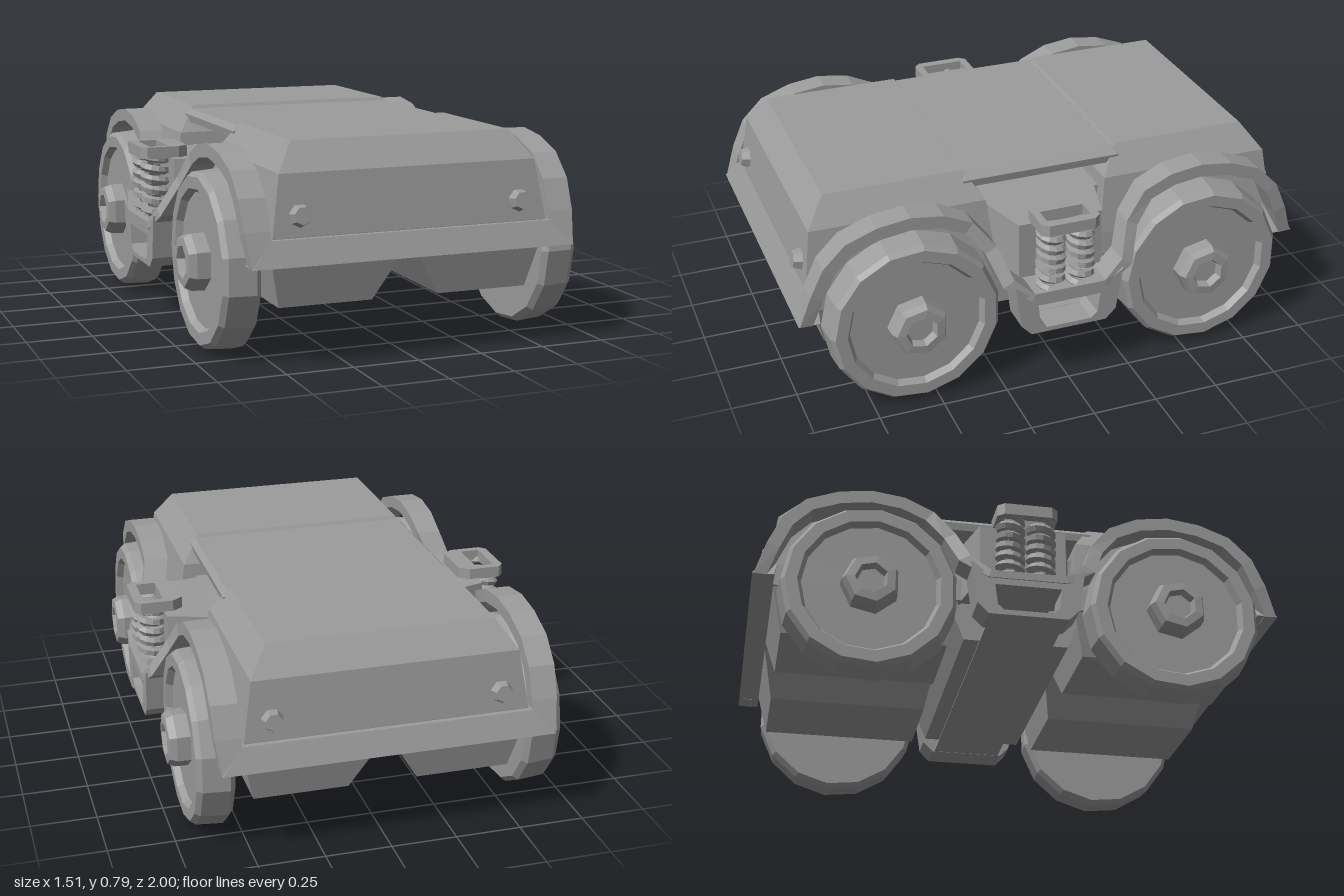
import * as THREE from 'three';

const material = new THREE.MeshStandardMaterial({ color: 0x9c9c9c, flatShading: true, side: THREE.DoubleSide });

function add(parent, name, geometry, x = 0, y = 0, z = 0) {
  const mesh = new THREE.Mesh(geometry, material);
  mesh.name = name;
  mesh.position.set(x, y, z);
  parent.add(mesh);
  return mesh;
}

// Skin a series of rings (equal point counts, counterclockwise about the travel direction), capped.
function loft(rings) {
  const n = rings[0].length, index = [];
  const last = (rings.length - 1) * n;
  for (let r = 0; r < rings.length - 1; r++) {
    for (let i = 0; i < n; i++) {
      const a = r * n + i, b = r * n + (i + 1) % n;
      index.push(a, b, b + n, a, b + n, a + n);
    }
  }
  for (let i = 1; i < n - 1; i++) {
    index.push(0, i + 1, i, last, last + i, last + i + 1);
  }
  const g = new THREE.BufferGeometry();
  g.setAttribute('position', new THREE.Float32BufferAttribute(rings.flat(2), 3));
  g.setIndex(index);
  g.computeVertexNormals();
  return g;
}

// Stack of rectangles, each given as [y, x0, x1, z0, z1].
const stack = (levels) => loft(levels.map(([y, x0, x1, z0, z1]) =>
  [[x0, y, z0], [x0, y, z1], [x1, y, z1], [x1, y, z0]]));

const lathe = (points, sides) =>
  new THREE.LatheGeometry(points.map(([r, h]) => new THREE.Vector2(r, h)), sides).rotateZ(-Math.PI / 2);

function outline(points, hole) {
  const vectors = (list) => list.map(([a, b]) => new THREE.Vector2(a, b));
  const shape = new THREE.Shape(vectors(points));
  shape.holes.push(new THREE.Path(vectors(hole)));
  return shape;
}

class Coil extends THREE.Curve {
  getPoint(t, target = new THREE.Vector3()) {
    const a = t * Math.PI * 2 * 6;
    return target.set(0.042 * Math.cos(a), 0.25 * t, 0.042 * Math.sin(a));
  }
}

// One continuous arched frame: over the front wheel, out and under the springs, over the rear wheel.
function sideFrame() {
  const half = [ // z, y, inner x, outer x
    [0.995, 0.378, 0.54, 0.62], [0.955, 0.50, 0.54, 0.635], [0.905, 0.61, 0.54, 0.64],
    [0.82, 0.695, 0.54, 0.64], [0.70, 0.74, 0.54, 0.64], [0.575, 0.757, 0.54, 0.64],
    [0.45, 0.74, 0.54, 0.64], [0.34, 0.69, 0.545, 0.64], [0.26, 0.59, 0.575, 0.665],
    [0.215, 0.47, 0.63, 0.73], [0.14, 0.405, 0.64, 0.75],
  ];
  const path = [...half, ...half.map(([z, ...rest]) => [-z, ...rest]).reverse()];
  return loft(path.map(([z, y, x0, x1], i) => {
    const p = path[Math.max(i - 1, 0)], q = path[Math.min(i + 1, path.length - 1)];
    const dz = q[0] - p[0], dy = q[1] - p[1], s = 0.05 / Math.hypot(dz, dy);
    const zi = z - dy * s, yi = Math.max(y + dz * s, 0.375);
    return [[x0, yi, zi], [x0, y, z], [x1, y, z], [x1, yi, zi]];
  }));
}

// Hood, bumper, bolts and underslung boxes of one end
function buildEnd(name) {
  const end = new THREE.Group();
  end.name = name;
  add(end, 'hood', stack([
    [0.38, -0.535, 0.535, 0.215, 0.94],
    [0.47, -0.53, 0.53, 0.215, 0.945],
    [0.69, -0.495, 0.495, 0.24, 0.915],
    [0.793, -0.425, 0.425, 0.305, 0.84],
  ]));
  add(end, 'bumper', stack([
    [0.378, -0.62, 0.62, 0.92, 1.0],
    [0.468, -0.54, 0.54, 0.91, 0.965],
  ]));
  for (const s of [-1, 1]) {
    const bolt = add(end, 'bolt', new THREE.CylinderGeometry(0.032, 0.046, 0.045, 7), s * 0.425, 0.545, 0.945);
    bolt.rotation.x = Math.PI / 2 - 0.13;
    const inner = [0.13 * s, 0.025 * s], outer = [0.485 * s, 0.525 * s];
    const span = (i) => [inner[i], outer[i]].sort((a, b) => a - b);
    add(end, 'undersideBox', stack([
      [0.21, ...span(0), 0.26, 0.88],
      [0.385, ...span(1), 0.225, 0.92],
    ]));
  }
  // Wall closing the gap between the boxes and the cross plank
  add(end, 'plankSupport', stack([
    [0.235, -0.5, 0.5, 0.12, 0.2],
    [0.385, -0.5, 0.5, 0.13, 0.26],
  ]));
  return end;
}

// Wheels, frame and suspension of the +x side
function buildSide(name) {
  const side = new THREE.Group();
  side.name = name;
  add(side, 'sideFrame', sideFrame());

  for (const z of [0.575, -0.575]) {
    add(side, 'wheel', lathe([
      [0, 0.55], [0.315, 0.55], [0.333, 0.57], [0.325, 0.67], [0.31, 0.69],
      [0.265, 0.69], [0.25, 0.665], [0, 0.665],
    ], 15), 0, 0.335, z);
    add(side, 'hub', lathe([
      [0.11, 0.65], [0.108, 0.715], [0.095, 0.742], [0.062, 0.745], [0.052, 0.715], [0, 0.715],
    ], 7), 0, 0.335, z);
    add(side, 'axle', lathe([[0, 0.4], [0.07, 0.4], [0.07, 0.56], [0, 0.56]], 8), 0, 0.335, z);
  }

  // Hanging loop below the springs, open through the middle
  const loop = outline(
    [[-0.215, 0.44], [-0.19, 0.27], [-0.15, 0.229], [0.15, 0.229], [0.19, 0.27], [0.215, 0.44], [0.14, 0.385], [-0.14, 0.385]],
    [[-0.125, 0.35], [0.125, 0.35], [0.115, 0.27], [0.09, 0.247], [-0.09, 0.247], [-0.115, 0.27]]);
  add(side, 'springLoop', new THREE.ExtrudeGeometry(loop, { depth: 0.12, bevelEnabled: false })
    .rotateY(Math.PI / 2), 0.625, 0, 0);

  for (const z of [-0.058, 0.058]) {
    add(side, 'spring', new THREE.TubeGeometry(new Coil(), 72, 0.017, 5), 0.692, 0.40, z);
  }

  // Cap holding the springs, with a window in its top
  const cap = outline(
    [[0.57, -0.085], [0.61, -0.115], [0.735, -0.115], [0.757, -0.09], [0.757, 0.09], [0.735, 0.115], [0.61, 0.115], [0.57, 0.085]],
    [[0.645, -0.085], [0.645, 0.085], [0.72, 0.085], [0.72, -0.085]]);
  add(side, 'springCap', new THREE.ExtrudeGeometry(cap, { depth: 0.045, bevelEnabled: false })
    .rotateX(-Math.PI / 2), 0, 0.642, 0);

  // Tapered arm carrying the cap
  add(side, 'bolsterArm', loft([
    [0.44, 0.22, 0.40, 0.64], [0.645, 0.165, 0.42, 0.645],
  ].map(([x, z, y0, y1]) => [[x, y0, -z], [x, y1, -z], [x, y1, z], [x, y0, z]])));
  return side;
}

export function createModel() {
  const model = new THREE.Group();
  model.name = 'railTruck';

  const rear = buildEnd('rearEnd');
  rear.rotation.y = Math.PI;
  const right = buildSide('rightSide');
  right.rotation.y = Math.PI;
  model.add(buildEnd('frontEnd'), rear, buildSide('leftSide'), right);

  // Middle: bolster, raised deck plate and lower cross plank
  add(model, 'bolster', stack([
    [0.375, -0.45, 0.45, -0.23, 0.23],
    [0.64, -0.45, 0.45, -0.245, 0.245],
  ]));
  add(model, 'deck', stack([
    [0.73, -0.45, 0.45, -0.30, 0.30],
    [0.76, -0.455, 0.455, -0.315, 0.315],
    [0.78, -0.435, 0.435, -0.295, 0.295],
  ]));
  add(model, 'crossPlank', new THREE.BoxGeometry(1.26, 0.018, 0.28), 0, 0.239, 0);
  return model;
}
